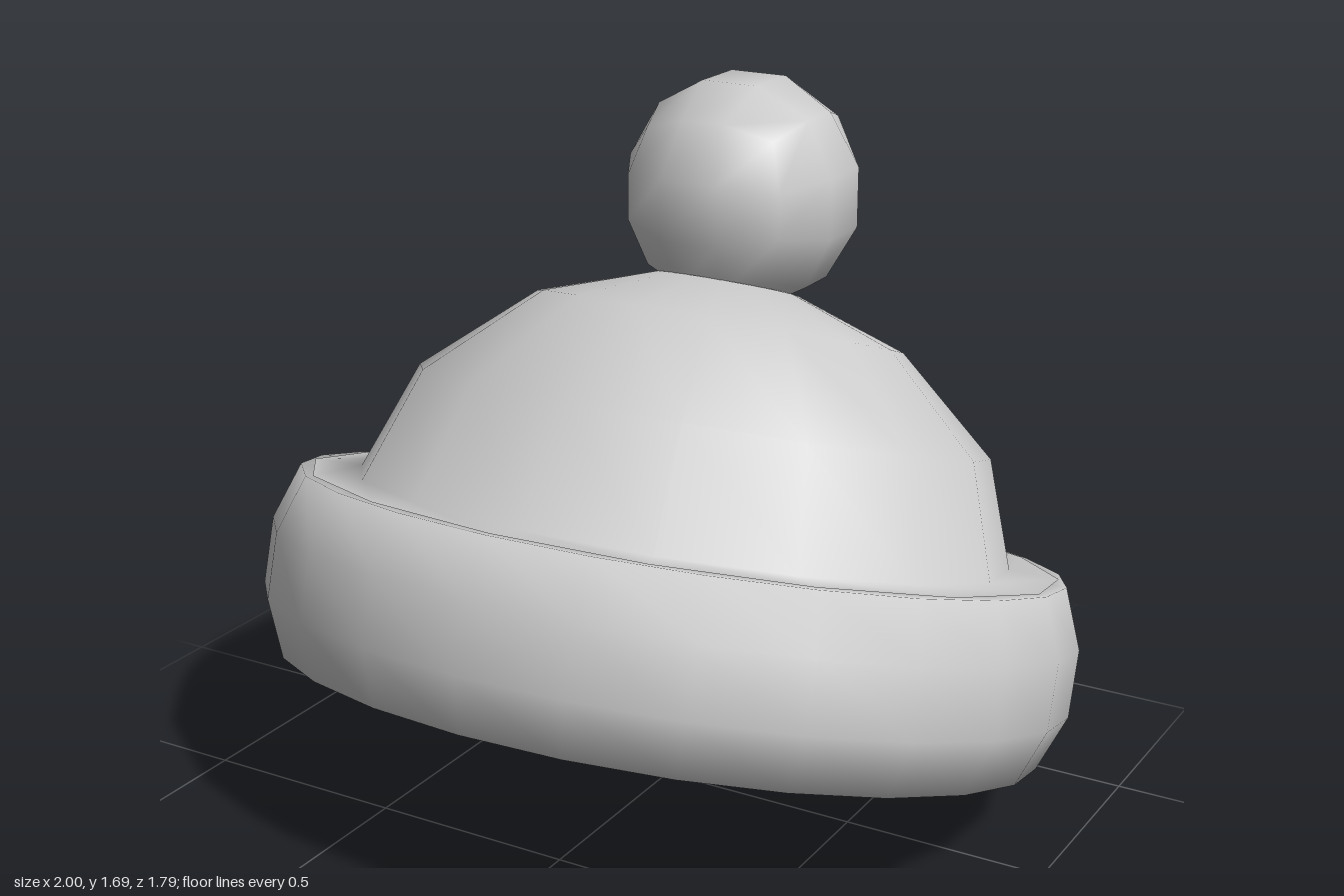
import * as THREE from 'three';

const material = new THREE.MeshStandardMaterial({ color: 0xcccccc, side: THREE.DoubleSide });

function lathe(name, profile, segments) {
  const points = profile.map(([r, y]) => new THREE.Vector2(r, y));
  const mesh = new THREE.Mesh(new THREE.LatheGeometry(points, segments), material);
  mesh.name = name;
  return mesh;
}

// Smooth ball made from a 3 x 3 x 3 box pushed out to a sphere
function ball(name, radius) {
  const geometry = new THREE.BoxGeometry(2, 2, 2, 3, 3, 3);
  const pos = geometry.attributes.position;
  const v = new THREE.Vector3();
  const spread = (c) => Math.tan((c * Math.PI) / 4);
  for (let i = 0; i < pos.count; i++) {
    v.fromBufferAttribute(pos, i);
    v.set(spread(v.x), spread(v.y), spread(v.z)).normalize();
    geometry.attributes.normal.setXYZ(i, v.x, v.y, v.z);
    pos.setXYZ(i, v.x * radius, v.y * radius, v.z * radius);
  }
  const mesh = new THREE.Mesh(geometry, material);
  mesh.name = name;
  return mesh;
}

export function createModel() {
  const model = new THREE.Group();
  model.name = 'bobbleHat';

  // Oval hat body, tipped back so the front rides high
  const body = new THREE.Group();
  body.name = 'hatBody';
  body.position.set(0, 0.2475, 0.065);
  body.rotation.x = -0.29;
  body.scale.z = 0.912;
  model.add(body);

  // Thick folded brim with an open middle
  body.add(lathe('brim', [
    [0.82, 0], [0.944, 0], [1, 0.135], [1, 0.295], [0.948, 0.435], [0.8, 0.435], [0.82, 0],
  ], 24));

  // Crown, flaring onto the top of the brim
  const crown = lathe('crown', [
    [0.93, 0.437], [0.81, 0.44], [0.715, 0.7], [0.458, 0.92], [0.18, 1.012], [0, 1.03],
  ], 16);
  // Slump the upper rings backwards
  const pos = crown.geometry.attributes.position;
  for (let i = 0; i < pos.count; i++) {
    const y = pos.getY(i), z = pos.getZ(i);
    const t = Math.max(0, (y - 0.44) / 0.58);
    pos.setY(i, y + 0.065 * z * t);
    pos.setZ(i, z - 0.07 * t);
  }
  body.add(crown);

  // Pompom
  const pompom = ball('pompom', 0.292);
  pompom.position.set(0, 1.415, -0.365);
  model.add(pompom);

  return model;
}
